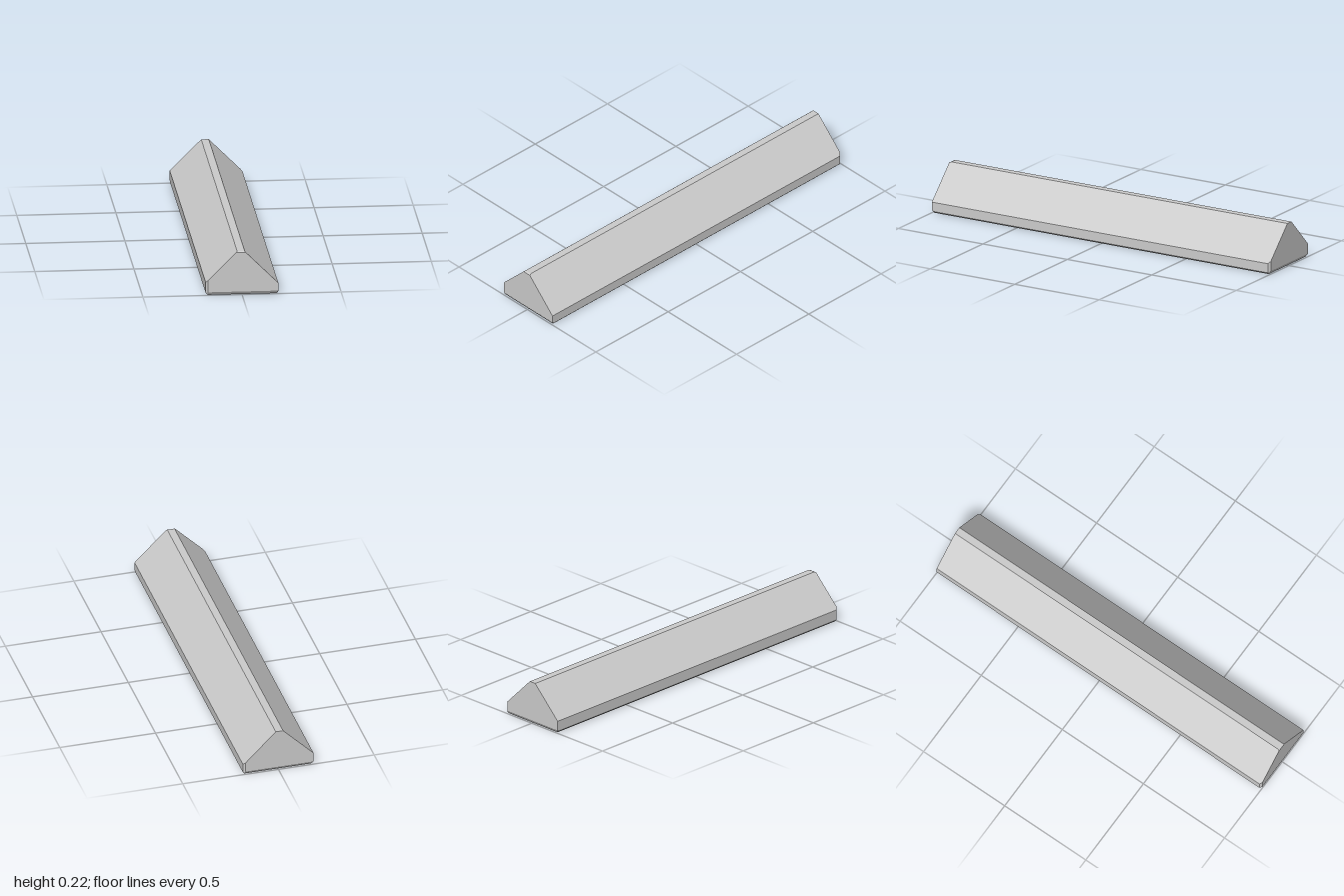
import * as THREE from 'three';
import { ConvexGeometry } from 'three/addons/geometries/ConvexGeometry.js';

// Cross-section of the long bar, as [x, y]
const bodyProfile = [
  [-0.183, 0.066], [-0.024, 0.225], [0.014, 0.225], [0.183, 0.056],
  [0.183, 0.008], [0.176, 0], [-0.172, 0], [-0.183, 0.011],
];
// End faces, slightly reduced where the edges are bevelled
const frontFace = [
  [-0.172, 0.077], [-0.028, 0.221], [0.018, 0.221],
  [0.183, 0.056], [0.183, 0.016], [-0.172, 0.016],
];
const backFace = [
  [-0.183, 0.066], [-0.024, 0.225], [0.014, 0.225],
  [0.172, 0.067], [0.172, 0.016], [-0.183, 0.016],
];

const ring = (profile, z) => profile.map(([x, y]) => new THREE.Vector3(x, y, z));

export function createModel() {
  const group = new THREE.Group();
  group.name = 'ridgedBar';

  // One solid bar: end face, bevel, straight body, bevel, end face
  const geometry = new ConvexGeometry([
    ...ring(frontFace, 1),
    ...ring(bodyProfile, 0.99),
    ...ring(bodyProfile, -0.99),
    ...ring(backFace, -1),
  ]);
  const material = new THREE.MeshStandardMaterial({ color: 0xcccccc, flatShading: true });
  const bar = new THREE.Mesh(geometry, material);
  bar.name = 'bar';
  group.add(bar);
  return group;
}
